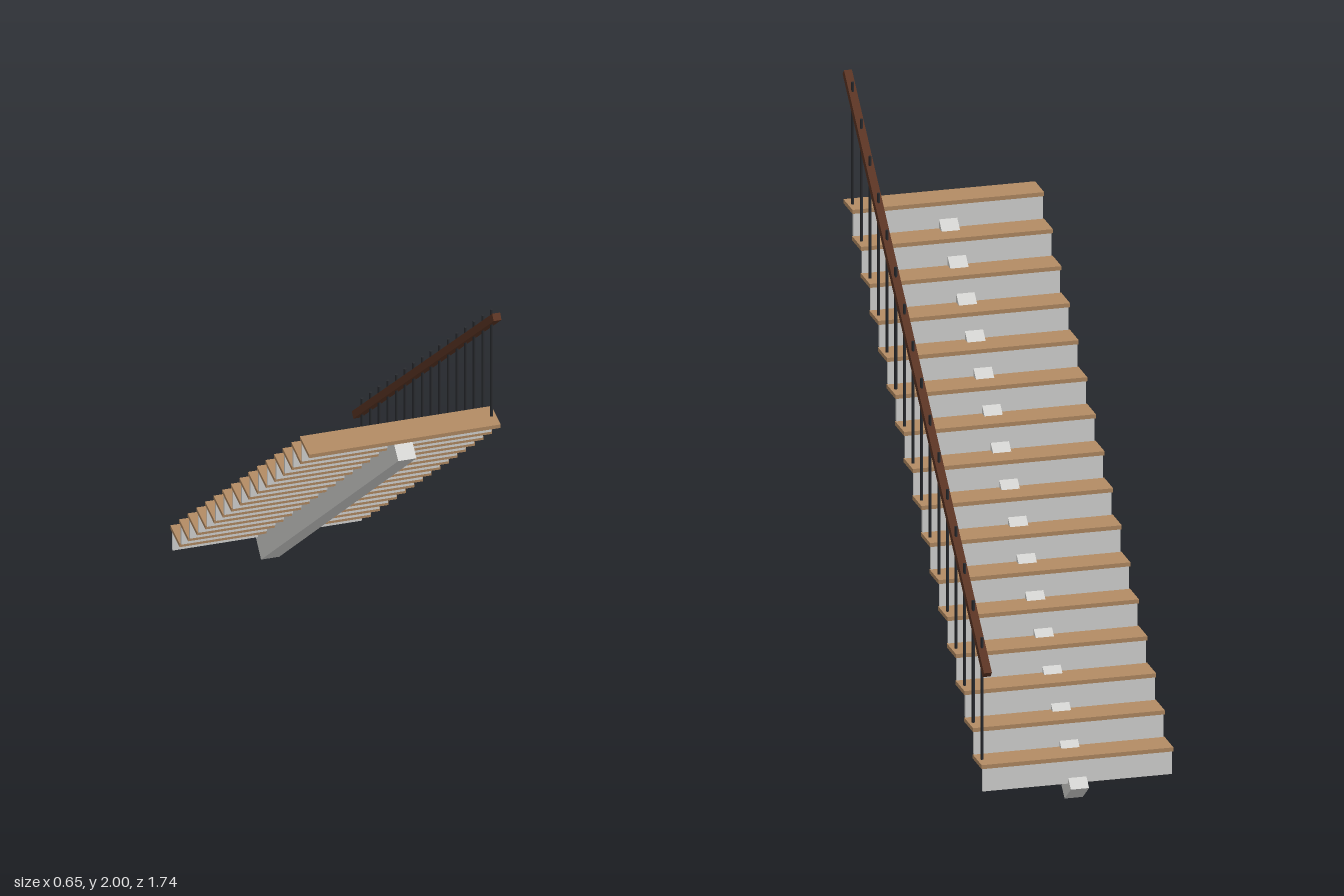
import * as THREE from 'three';

const STEPS = 16, RISE = 0.0929, RUN = 0.1049;
const TREAD_TOP = 0.16, TREAD_THICK = 0.014, TREAD_DEPTH = 0.111;
const RAIL_X = 0.31;

function material(name, color) {
  const m = new THREE.MeshStandardMaterial({ color });
  m.name = name;
  return m;
}

export function createModel() {
  const group = new THREE.Group();
  const wood = material('tread wood', 0xb48c64);
  const concrete = material('pale grey', 0xd8d8d6);
  const darkWood = material('handrail wood', 0x5c3524);
  const iron = material('black iron', 0x2a2c30);

  const add = (name, geometry, mat, x, y, z) => {
    const mesh = new THREE.Mesh(geometry, mat);
    mesh.name = name;
    mesh.position.set(x, y, z);
    group.add(mesh);
    return mesh;
  };

  const treadGeo = new THREE.BoxGeometry(0.652, TREAD_THICK, TREAD_DEPTH);
  const riserHeight = RISE - TREAD_THICK;
  const riserGeo = new THREE.BoxGeometry(0.644, riserHeight, 0.01);
  const postHeight = 0.424;
  const postGeo = new THREE.CylinderGeometry(0.005, 0.005, postHeight, 10);

  // Steps climb from the back (-z) to the front (+z)
  for (let i = 0; i < STEPS; i++) {
    const top = TREAD_TOP + i * RISE;
    const z = (i - (STEPS - 1) / 2) * RUN;
    add('tread', treadGeo, wood, 0, top - TREAD_THICK / 2, z);
    add('riser', riserGeo, concrete, 0,
      top - TREAD_THICK - riserHeight / 2, z - TREAD_DEPTH / 2 + 0.008);
    add('baluster', postGeo, iron, RAIL_X, top + postHeight / 2, z);
  }

  // Central sloping beam: side profile (z, y) extruded across x
  const profile = new THREE.Shape([
    [-0.795, 0], [0.872, 1.493], [0.795, 1.546], [-0.872, 0.057],
  ].map(([z, y]) => new THREE.Vector2(-z, y)).reverse());
  const beamGeo = new THREE.ExtrudeGeometry(profile, { depth: 0.062, bevelEnabled: false });
  beamGeo.translate(0, 0, -0.031);
  beamGeo.rotateY(Math.PI / 2);
  add('centralBeam', beamGeo, concrete, 0, 0, 0);

  // Square handrail on the model's left
  const dz = 1.706, dy = 1.515;
  const rail = add('handrail', new THREE.BoxGeometry(0.027, 0.025, Math.hypot(dz, dy)),
    darkWood, RAIL_X, 1.2335, 0);
  rail.rotation.x = -Math.atan2(dy, dz);

  return group;
}
